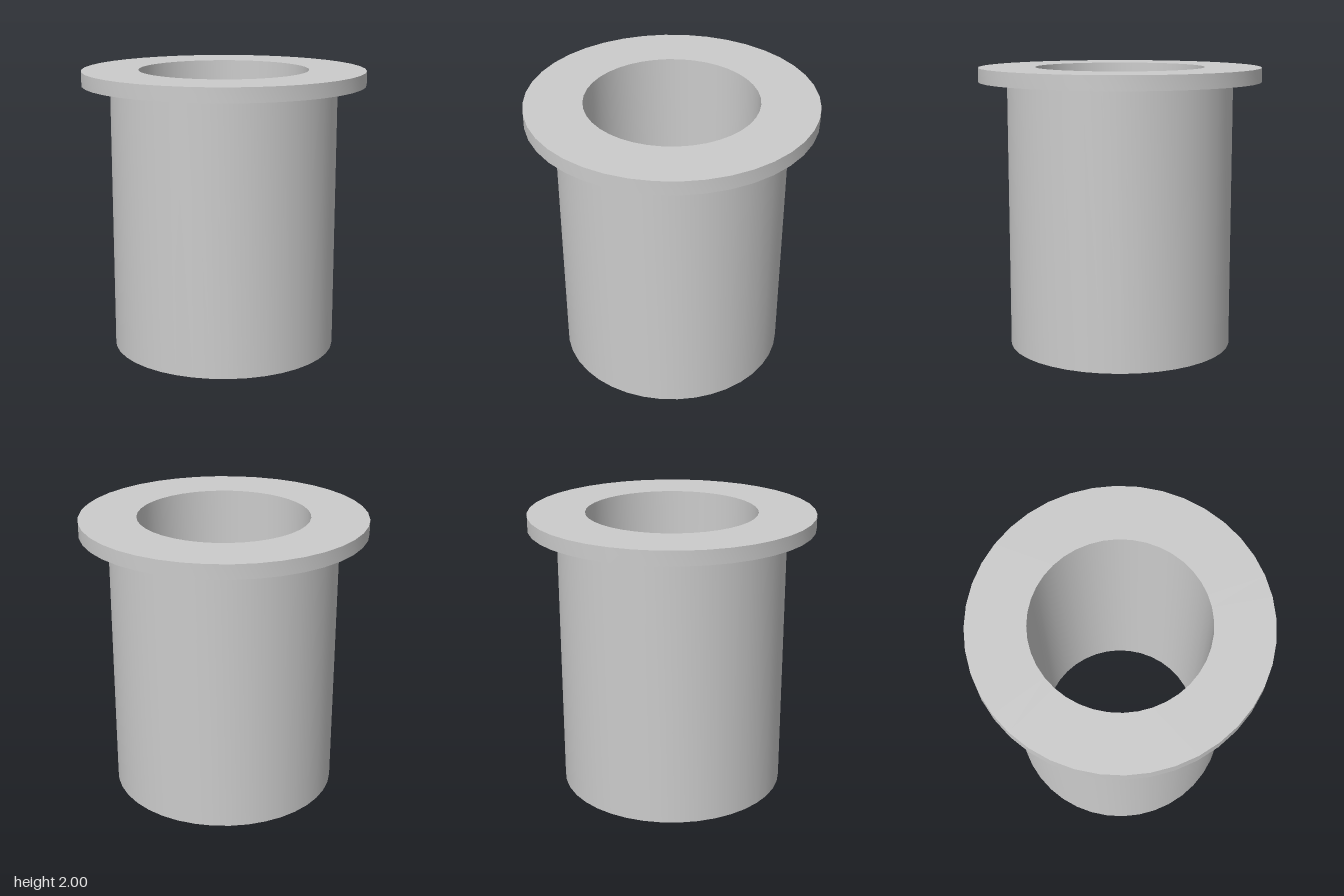
import * as THREE from 'three';
import { toCreasedNormals } from 'three/addons/utils/BufferGeometryUtils.js';

const SEGMENTS = 40;
const BORE = 0.6, BODY = 0.8, RIM = 1;
const HEIGHT = 2, FLANGE_BOTTOM = 1.9;

const material = new THREE.MeshStandardMaterial({ color: 0xcccccc });

// Turns a [radius, height] profile around y, with sharp profile corners
function turned(name, profile) {
  const points = profile.map(([r, y]) => new THREE.Vector2(r, y));
  const geometry = toCreasedNormals(new THREE.LatheGeometry(points, SEGMENTS), Math.PI / 6);
  const mesh = new THREE.Mesh(geometry, material);
  mesh.name = name;
  return mesh;
}

export function createModel() {
  const group = new THREE.Group();
  group.name = 'flangedBushing';

  // Sleeve: through bore, bottom ring and outer wall up to the flange
  group.add(turned('sleeve', [[BORE, HEIGHT], [BORE, 0], [BODY, 0], [BODY, FLANGE_BOTTOM]]));

  // Flange: underside, rim and top face around the bore
  group.add(turned('flange', [[BODY, FLANGE_BOTTOM], [RIM, FLANGE_BOTTOM], [RIM, HEIGHT], [BORE, HEIGHT]]));

  return group;
}
